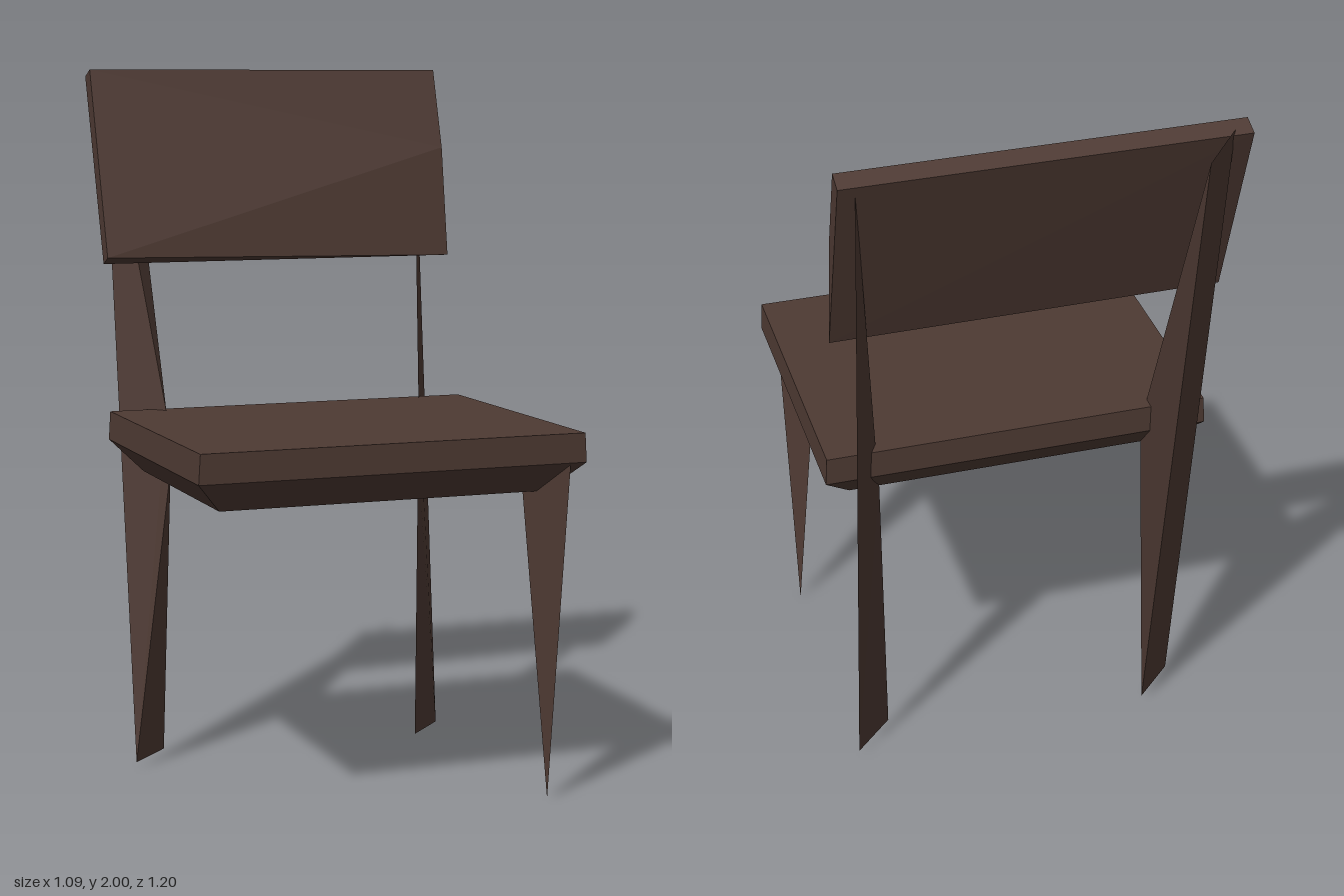
import * as THREE from 'three';

const wood = new THREE.MeshStandardMaterial({ color: 0x4e3a33, side: THREE.DoubleSide });
wood.name = 'darkBrownWood';

// Flat-shaded mesh from corner points and polygon faces (fan triangulated)
function facets(name, points, faces) {
  const pos = [];
  for (const f of faces) {
    for (let i = 1; i < f.length - 1; i++) {
      pos.push(...points[f[0]], ...points[f[i]], ...points[f[i + 1]]);
    }
  }
  const geo = new THREE.BufferGeometry();
  geo.setAttribute('position', new THREE.Float32BufferAttribute(pos, 3));
  geo.computeVertexNormals();
  const mesh = new THREE.Mesh(geo, wood);
  mesh.name = name;
  return mesh;
}

// Rectangular rings joined from top to bottom, with both ends closed
function rectLoft(name, rings) {
  const points = [], faces = [[0, 1, 2, 3]];
  rings.forEach(([y, x, zBack, zFront], r) => {
    points.push([-x, y, zFront], [x, y, zFront], [x, y, zBack], [-x, y, zBack]);
    if (r === 0) return;
    const a = (r - 1) * 4, b = r * 4;
    for (let i = 0; i < 4; i++) {
      const j = (i + 1) % 4;
      faces.push([a + i, b + i, b + j, a + j]);
    }
  });
  const e = (rings.length - 1) * 4;
  faces.push([e + 3, e + 2, e + 1, e]);
  return facets(name, points, faces);
}

export function createModel() {
  const chair = new THREE.Group();
  chair.name = 'chair';

  // Seat slab with a sloping apron and a hollow underside
  chair.add(rectLoft('seat', [
    [1.035, 0.54, -0.25, 0.6],
    [0.955, 0.545, -0.25, 0.6],
    [0.87, 0.465, -0.175, 0.52],
    [0.95, 0.36, -0.08, 0.42],
  ]));

  // Leaning backrest, its lower left front corner tapering to an edge
  chair.add(facets('backrest', [
    [-0.535, 2, -0.445], [0.535, 2, -0.445],
    [0.535, 1.98, -0.495], [-0.535, 1.98, -0.495],
    [-0.535, 1.47, -0.275], [-0.535, 1.45, -0.32],
    [0.535, 1.45, -0.325], [0.535, 1.77, -0.375],
  ], [
    [0, 4, 7, 1], [4, 6, 7], [4, 5, 6], [0, 1, 2, 3],
    [3, 2, 6, 5], [0, 3, 5, 4], [1, 7, 6, 2],
  ]));

  // Right back leg: wide outer face with a ridge at seat height
  chair.add(facets('rightBackLeg', [
    [-0.495, 0.02, -0.175], [-0.38, 0.02, -0.285],
    [-0.38, 1.97, -0.6], [-0.485, 1.995, -0.49],
    [-0.385, 1.03, -0.21], [-0.385, 0.87, -0.175],
  ], [
    [0, 3, 2, 1], [0, 5, 4, 3], [0, 1, 5], [1, 2, 4, 5], [3, 4, 2],
  ]));

  // Left back leg: thin blade set diagonally
  chair.add(facets('leftBackLeg', [
    [0.375, 0.02, -0.175], [0.49, 0.02, -0.285],
    [0.49, 1.98, -0.49], [0.395, 1.03, -0.21], [0.38, 0.87, -0.175],
  ], [[1, 2, 3, 4, 0]]));

  // Left front leg: thin blade tapering to a point
  chair.add(facets('leftFrontLeg', [
    [0.4, 0.95, 0.49], [0.5, 0.95, 0.595], [0.49, 0, 0.5],
  ], [[0, 2, 1]]));

  return chair;
}
